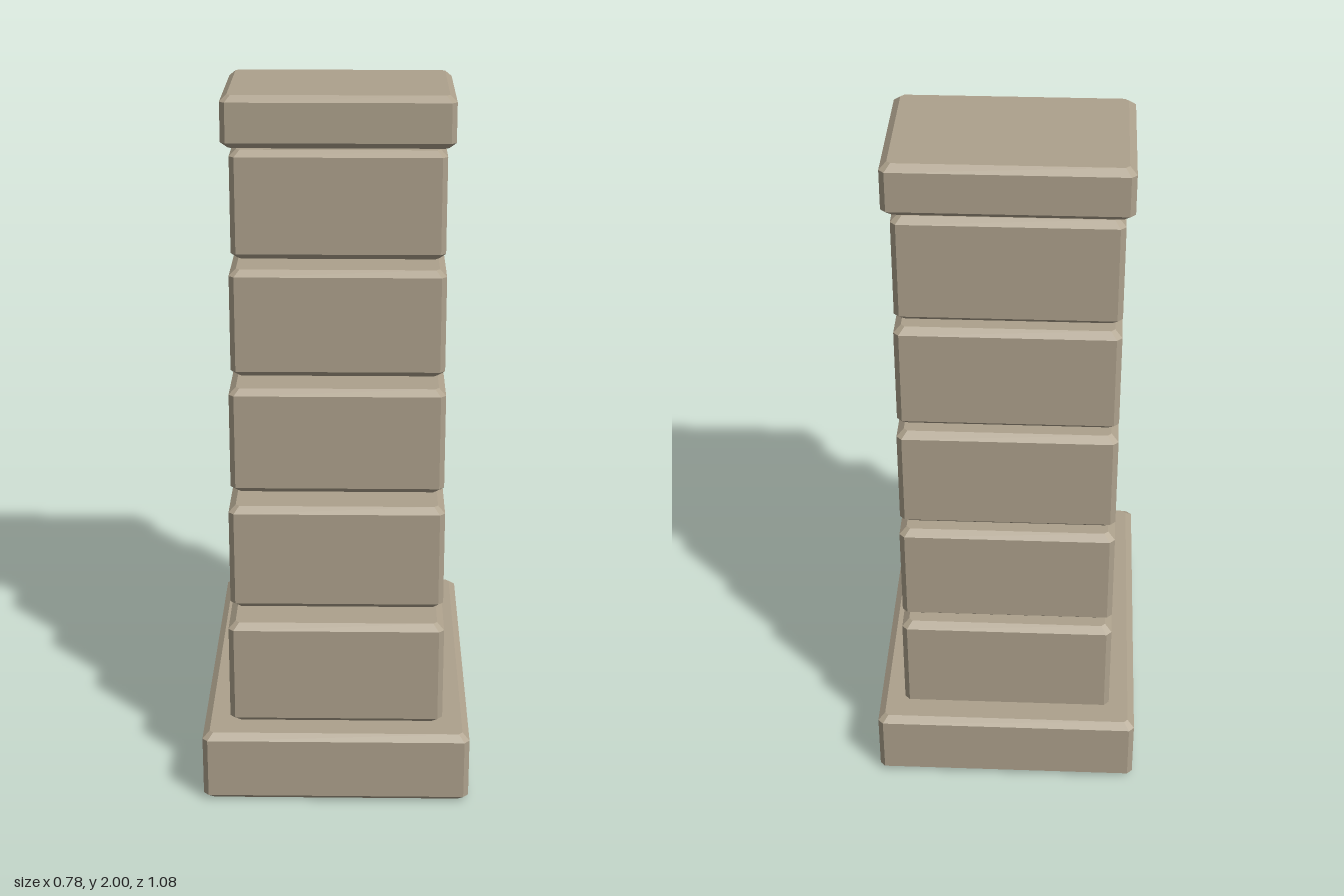
import * as THREE from 'three';

const BEVEL = 0.02; // chamfer on the horizontal edges
const RISE = 0.018; // height of that chamfer

// Rectangle with clipped corners, counter-clockwise seen from above
function ring(hx, z0, z1, y, cut) {
  return [
    [hx, y, z1 - cut], [hx, y, z0 + cut], [hx - cut, y, z0], [-hx + cut, y, z0],
    [-hx, y, z0 + cut], [-hx, y, z1 - cut], [-hx + cut, y, z1], [hx - cut, y, z1],
  ];
}

// Chamfered stone block lofted through four clipped rectangles
function chamferedBlock(hx, z0, z1, y0, y1) {
  const inner = (y) => ring(hx - BEVEL, z0 + BEVEL, z1 - BEVEL, y, 0.011);
  const outer = (y) => ring(hx, z0, z1, y, 0.015);
  const rings = [inner(y0), outer(y0 + RISE), outer(y1 - RISE), inner(y1)];
  const pos = [];
  const tri = (a, b, c) => pos.push(...a, ...b, ...c);
  for (let r = 0; r < 3; r++) {
    for (let i = 0; i < 8; i++) {
      const j = (i + 1) % 8;
      tri(rings[r][i], rings[r][j], rings[r + 1][j]);
      tri(rings[r][i], rings[r + 1][j], rings[r + 1][i]);
    }
  }
  // bottom and top faces
  for (let i = 1; i < 7; i++) {
    tri(rings[0][0], rings[0][i + 1], rings[0][i]);
    tri(rings[3][0], rings[3][i], rings[3][i + 1]);
  }
  const geo = new THREE.BufferGeometry();
  geo.setAttribute('position', new THREE.Float32BufferAttribute(pos, 3));
  geo.computeVertexNormals(); // unshared corners keep every facet flat
  return geo;
}

export function createModel() {
  const group = new THREE.Group();
  group.name = 'steppedStoneButtress';
  const stone = new THREE.MeshStandardMaterial({ color: 0xada18c });
  stone.name = 'stone';

  const add = (name, ...size) => {
    const mesh = new THREE.Mesh(chamferedBlock(...size), stone);
    mesh.name = name;
    group.add(mesh);
  };

  // Wide plinth
  add('plinth', 0.39, -0.54, 0.54, 0, 0.217);

  // Five courses, stepping back further at the front than at the rear
  for (let i = 0; i < 5; i++) {
    const y = 0.22 + i * 0.3255;
    add(`course${i + 1}`, 0.312, -0.47 + i * 0.032, 0.469 - i * 0.096, y, y + 0.32);
  }

  // Overhanging capstone
  add('capstone', 0.335, -0.352, 0.097, 1.849, 2);
  return group;
}
